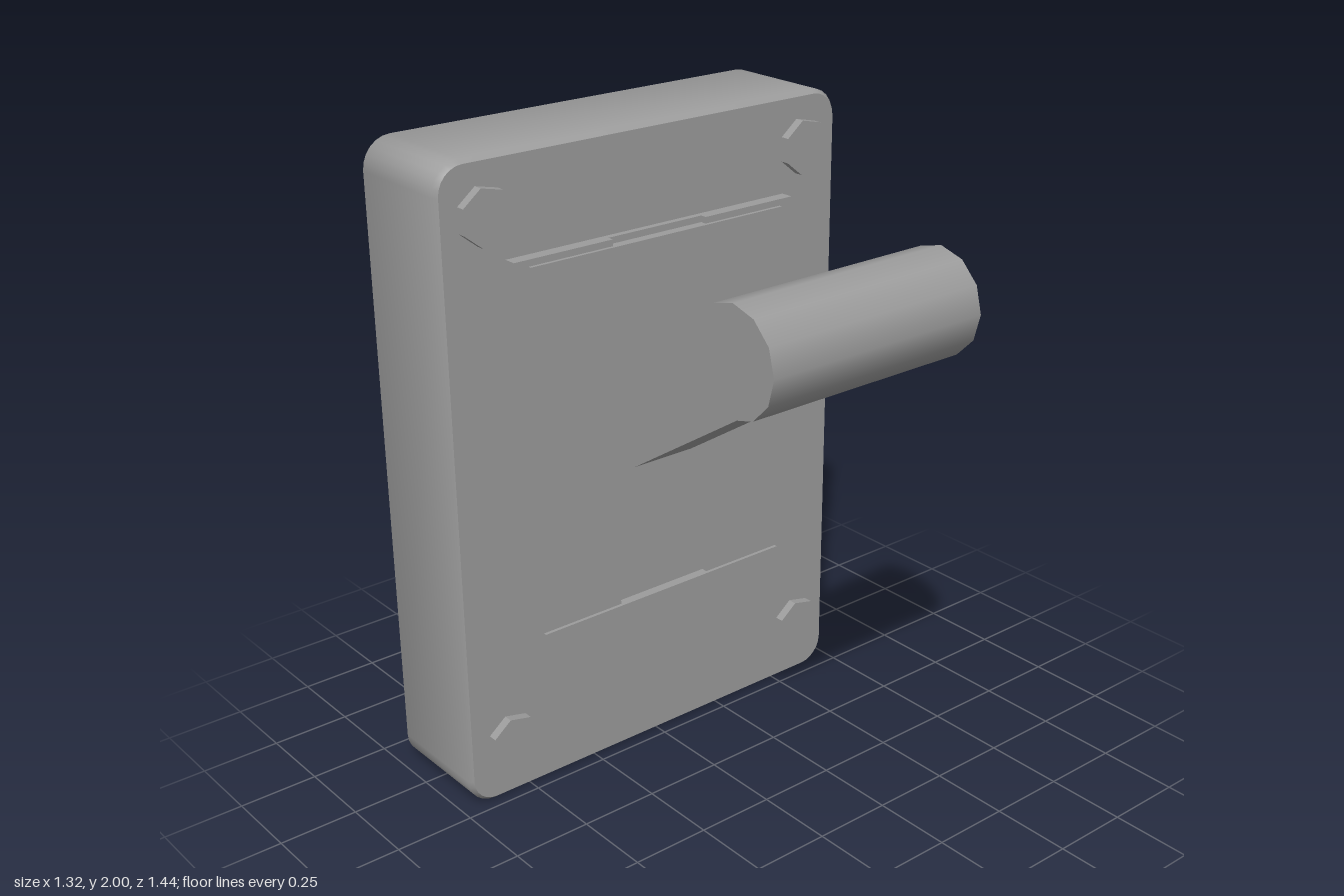
import * as THREE from 'three';
import { toCreasedNormals } from 'three/addons/utils/BufferGeometryUtils.js';

export function createModel() {
  const model = new THREE.Group();
  const darkGrey = new THREE.MeshStandardMaterial({ color: 0x9c9c9c });

  function add(name, geometry) {
    const mesh = new THREE.Mesh(geometry, darkGrey);
    mesh.name = name;
    model.add(mesh);
    return mesh;
  }

  // Box given by its limits on each axis
  function addBox(name, [x0, x1], [y0, y1], [z0, z1]) {
    const mesh = add(name, new THREE.BoxGeometry(x1 - x0, y1 - y0, z1 - z0));
    mesh.position.set((x0 + x1) / 2, (y0 + y1) / 2, (z0 + z1) / 2);
    return mesh;
  }

  // Wall case: rounded rectangle extruded along x, its chamfer shaded into the sides
  const bevel = 0.012, w = 0.72 - bevel, h = 1 - bevel, r = 0.08;
  const outline = new THREE.Shape();
  outline.absarc(w - r, h - r, r, 0, Math.PI / 2);
  outline.absarc(-w + r, h - r, r, Math.PI / 2, Math.PI);
  outline.absarc(-w + r, -h + r, r, Math.PI, Math.PI * 1.5);
  outline.absarc(w - r, -h + r, r, Math.PI * 1.5, Math.PI * 2);
  const caseGeometry = new THREE.ExtrudeGeometry(outline, {
    depth: 0.348, curveSegments: 3,
    bevelSize: bevel, bevelThickness: 0.015, bevelSegments: 1,
  });
  caseGeometry.rotateY(Math.PI / 2);
  add('case', toCreasedNormals(caseGeometry, 0.86)).position.set(-0.645, 1, 0);

  // Face plate: two raised sides with a shallow channel between them
  const plateY = [0.345, 1.7];
  addBox('plateLeft', [-0.3, -0.242], plateY, [0.17, 0.507]);
  addBox('plateRight', [-0.3, -0.242], plateY, [-0.507, -0.17]);
  addBox('channelFloor', [-0.3, -0.262], plateY, [-0.172, 0.172]);

  // Thin bars across the ends of the channel
  addBox('lowerBar', [-0.27, -0.231], [0.385, 0.535], [-0.46, 0.46]);
  addBox('upperBar', [-0.27, -0.231], [1.53, 1.68], [-0.46, 0.46]);

  // Seven-sided bolt heads, one corner towards -z
  const boltSpots = [[0.193, -0.586], [0.193, 0.567], [1.838, -0.578], [1.838, 0.574]];
  for (const [y, z] of boltSpots) {
    const bolt = new THREE.CylinderGeometry(0.086, 0.086, 0.05, 7).toNonIndexed();
    bolt.rotateY(Math.PI);
    bolt.rotateZ(-Math.PI / 2);
    bolt.computeVertexNormals();
    add('bolt', bolt).position.set(-0.278, y, z);
  }

  // Sloping lever arm, from inside the case to the middle of the grip
  const grip = new THREE.Vector2(0.502, 1.595);
  const slope = Math.atan(0.645), length = 0.95;
  const arm = add('leverArm', new THREE.BoxGeometry(length, 0.197, 0.22));
  arm.rotation.z = slope;
  arm.position.set(
    grip.x - Math.cos(slope) * length / 2,
    grip.y - 0.02 - Math.sin(slope) * length / 2,
    0);

  // Cross grip
  const gripGeometry = new THREE.CylinderGeometry(0.157, 0.157, 0.74, 12);
  gripGeometry.rotateX(Math.PI / 2);
  add('leverGrip', gripGeometry).position.set(grip.x, grip.y, -0.01);

  return model;
}
